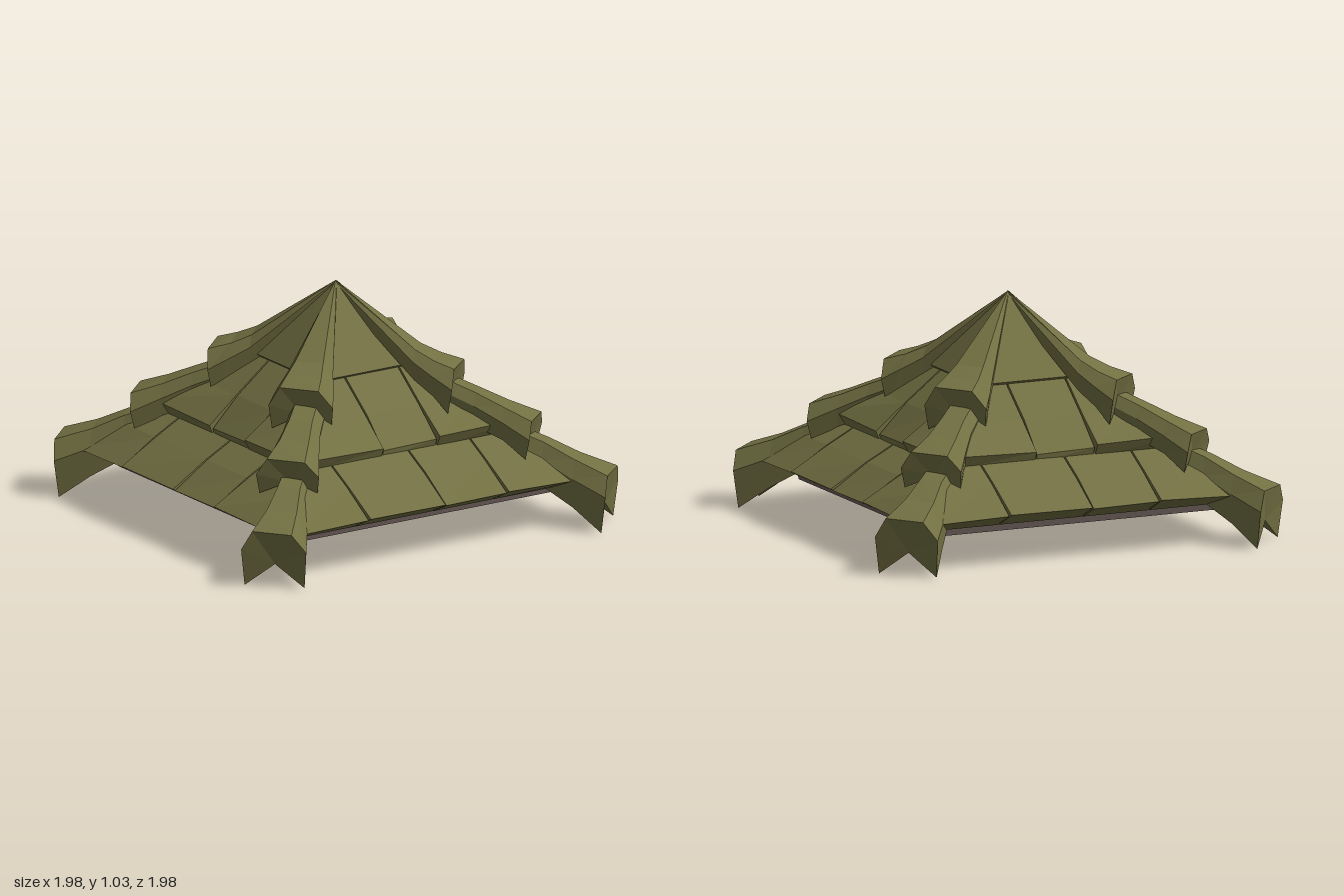
import * as THREE from 'three';

const green = new THREE.MeshStandardMaterial({ color: 0x737143, flatShading: true });
green.name = 'mossGreen';
const brown = new THREE.MeshStandardMaterial({ color: 0x6e605b, flatShading: true, side: THREE.DoubleSide });
brown.name = 'greyBrown';

// Solid skin through equal-sized rings of [x, y, z]; the ends are fanned from each ring's last point
function loft(rings) {
  const n = rings[0].length, last = (rings.length - 1) * n, index = [];
  for (let i = 0; i < rings.length - 1; i++) {
    for (let j = 0; j < n; j++) {
      const a = i * n + j, b = i * n + (j + 1) % n, c = b + n, d = a + n;
      index.push(a, d, c, a, c, b);
    }
  }
  for (let j = 0; j < n - 2; j++) {
    index.push(n - 1, j, j + 1, last + n - 1, last + j + 1, last + j);
  }
  const g = new THREE.BufferGeometry();
  g.setAttribute('position', new THREE.Float32BufferAttribute(rings.flat(2), 3));
  g.setIndex(index);
  const flat = g.toNonIndexed();
  flat.computeVertexNormals();
  return flat;
}

function add(parent, name, geometry, material = green) {
  const mesh = new THREE.Mesh(geometry, material);
  mesh.name = name;
  parent.add(mesh);
  return mesh;
}

// Four-sided open or closed frustum, half widths at top and bottom
function frustum(top, bottom, y0, y1, open) {
  const g = new THREE.CylinderGeometry(top * Math.SQRT2, bottom * Math.SQRT2, y1 - y0, 4, 1, open);
  return g.rotateY(Math.PI / 4).translate(0, (y0 + y1) / 2, 0);
}

// Ridge cap: stations of [distance, left, right, foot y, shoulder y, crown y], set a little off the hip line
function ridgeCap(stations) {
  return loft(stations.map(([r, x0, x1, foot, mid, top], i) => {
    const end = i === stations.length - 1 ? 1 : 0;
    const at = (t) => x0 + (x1 - x0) * t;
    const back = r - 0.02 * end;
    return [
      [at(0.04), foot, back], [x0, mid, r], [at(0.17), top, r],
      [at(0.78), top - 0.005, r + 0.01 * end], [x1, mid, r], [at(0.96), foot, back],
      [at(0.5), foot + (mid - foot) * 0.6, r - 0.03 * end],
    ];
  }));
}

// Shingle: slope profile of [z, y] swept from x1 to x0; outer joints follow the hip
function shingle(profile, x0, x1, tilt) {
  const gap = 0.004;
  const side = (x, s, dy) => profile.map(([z, y], i) => {
    const lip = i === profile.length - 3;
    const px = Math.abs(x) === 1 ? x * Math.min(z, 0.76) : x - s * gap;
    return [px, y + (lip ? dy : 0), z + (lip ? dy : 0)];
  });
  return loft([side(x1, 1, tilt[1]), side(x0, -1, tilt[0])]);
}

const caps = {
  lowerRidgeCap: [
    [0.74, -0.09, 0.06, 0.26, 0.37, 0.44], [0.93, -0.1, 0.06, 0.18, 0.3, 0.375],
    [1.07, -0.13, 0.085, 0.1, 0.23, 0.31], [1.225, -0.178, 0.11, 0.005, 0.17, 0.255]],
  middleRidgeCap: [
    [0.46, -0.1, 0.05, 0.5, 0.6, 0.65], [0.63, -0.11, 0.055, 0.44, 0.53, 0.585],
    [0.76, -0.135, 0.075, 0.39, 0.47, 0.53], [0.89, -0.178, 0.1, 0.32, 0.41, 0.482]],
  upperRidgeCap: [
    [0, -0.004, 0.004, 0.98, 1.02, 1.032], [0.37, -0.14, 0.06, 0.64, 0.72, 0.77],
    [0.46, -0.17, 0.08, 0.58, 0.67, 0.73], [0.55, -0.19, 0.095, 0.51, 0.62, 0.702]],
};

const courses = [
  {
    name: 'lowerShingle',
    profile: [[0.5, 0.43], [0.68, 0.335], [0.85, 0.227], [0.73, 0.168], [0.5, 0.28]],
    joints: [-1, -0.395, 0.005, 0.325, 1],
    tilts: [[-0.01, 0], [0.006, 0.002], [-0.003, 0.002], [0.008, -0.01]],
  },
  {
    name: 'middleShingle',
    profile: [[0.25, 0.69], [0.43, 0.55], [0.575, 0.44], [0.55, 0.385], [0.25, 0.58]],
    joints: [-1, -0.13, 0.15, 1],
    tilts: [[0.01, -0.005], [-0.018, -0.01], [0.005, 0.015]],
  },
];

export function createModel() {
  const roof = new THREE.Group();
  roof.name = 'roof';

  // Hollow soffit with a short rim
  add(roof, 'soffit', frustum(0, 0.68, 0.13, 0.66, true), brown);
  add(roof, 'soffitRim', frustum(0.69, 0.68, 0.13, 0.185, true), brown);

  // Deck behind the shingle joints, and the pointed top course with its lip
  add(roof, 'deck', frustum(0.3, 0.8, 0.215, 0.55, true));
  add(roof, 'peak', frustum(0, 0.275, 0.69, 1.03, false));
  add(roof, 'peakLip', frustum(0.275, 0.255, 0.672, 0.69, false));

  // One slope and one hip, repeated round the four sides
  for (let k = 0; k < 4; k++) {
    const side = new THREE.Group();
    side.name = 'roofSide';
    side.rotation.y = k * Math.PI / 2;
    roof.add(side);
    for (const { name, profile, joints, tilts } of courses) {
      tilts.forEach((tilt, i) => add(side, name, shingle(profile, joints[i], joints[i + 1], tilt)));
    }
    for (const [name, stations] of Object.entries(caps)) {
      add(side, name, ridgeCap(stations)).rotation.y = Math.PI / 4;
    }
  }
  return roof;
}
